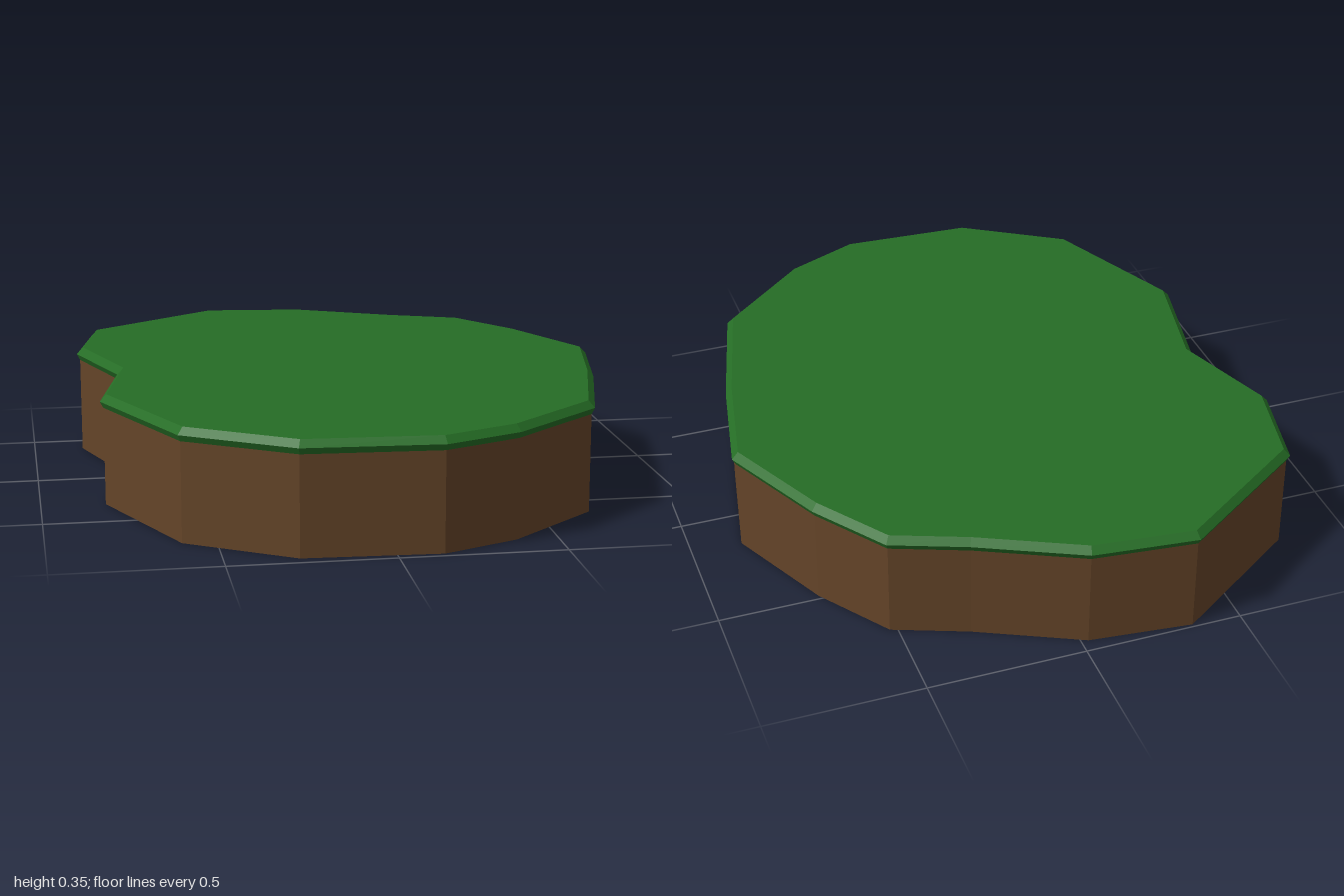
import * as THREE from 'three';
import { mergeGeometries } from 'three/addons/utils/BufferGeometryUtils.js';

// Widest outline of the island as [x, z], clockwise seen from above
const OUTLINE = [
  [-0.35, -1.0], [-0.02, -0.965], [0.3, -0.81], [0.53, -0.72],
  [0.69, -0.49], [0.85, -0.15], [0.78, 0.21], [0.67, 0.63],
  [0.38, 0.885], [0.14, 0.99], [-0.285, 0.97], [-0.61, 0.765],
  [-0.81, 0.31], [-0.735, -0.06], [-0.85, -0.395], [-0.785, -0.7],
].map(([x, z]) => new THREE.Vector2(x, z));

// Move every edge inwards by the same distance
function inset(distance) {
  const n = OUTLINE.length;
  const normal = (a, b) => new THREE.Vector2(a.y - b.y, b.x - a.x).normalize();
  return OUTLINE.map((p, i) => {
    const n1 = normal(OUTLINE[(i + n - 1) % n], p);
    const n2 = normal(p, OUTLINE[(i + 1) % n]);
    const miter = distance / (1 + n1.dot(n2));
    return p.clone().addScaledVector(n1.add(n2), miter);
  });
}

// Faceted wall through a stack of [inset, height] rings, lowest first
function wall(levels) {
  const positions = [];
  const rings = levels.map(([d, y]) => inset(d).map((p) => [p.x, y, p.y]));
  for (let k = 0; k < rings.length - 1; k++) {
    const [low, high] = [rings[k], rings[k + 1]];
    low.forEach((a, i) => {
      const j = (i + 1) % low.length;
      positions.push(...low[j], ...a, ...high[i], ...low[j], ...high[i], ...high[j]);
    });
  }
  const geometry = new THREE.BufferGeometry();
  geometry.setAttribute('position', new THREE.Float32BufferAttribute(positions, 3));
  geometry.computeVertexNormals();
  return geometry;
}

// Flat cap facing up (side = 1) or down (side = -1)
function cap(distance, y, side) {
  const shape = new THREE.Shape(inset(distance).map((p) => new THREE.Vector2(p.x, -side * p.y)));
  const geometry = new THREE.ShapeGeometry(shape).rotateX(-side * Math.PI / 2).translate(0, y, 0);
  geometry.deleteAttribute('uv');
  return geometry.toNonIndexed();
}

export function createModel() {
  const grass = new THREE.MeshStandardMaterial({ name: 'grass green', color: 0x256d25, flatShading: true });
  const soil = new THREE.MeshStandardMaterial({ name: 'soil brown', color: 0x644428, flatShading: true });

  const group = new THREE.Group();
  group.name = 'grassyPlatform';
  const add = (name, parts, material) => {
    const mesh = new THREE.Mesh(mergeGeometries(parts), material);
    mesh.name = name;
    group.add(mesh);
  };

  // Earth body with its underside
  add('soilBase', [wall([[0.01, 0], [0.01, 0.308]]), cap(0.01, 0, -1)], soil);
  // Turf layer with a bevelled rim that overhangs the earth slightly
  add('grassTop', [wall([[0.01, 0.308], [0, 0.328], [0.02, 0.35]]), cap(0.02, 0.35, 1)], grass);

  return group;
}
